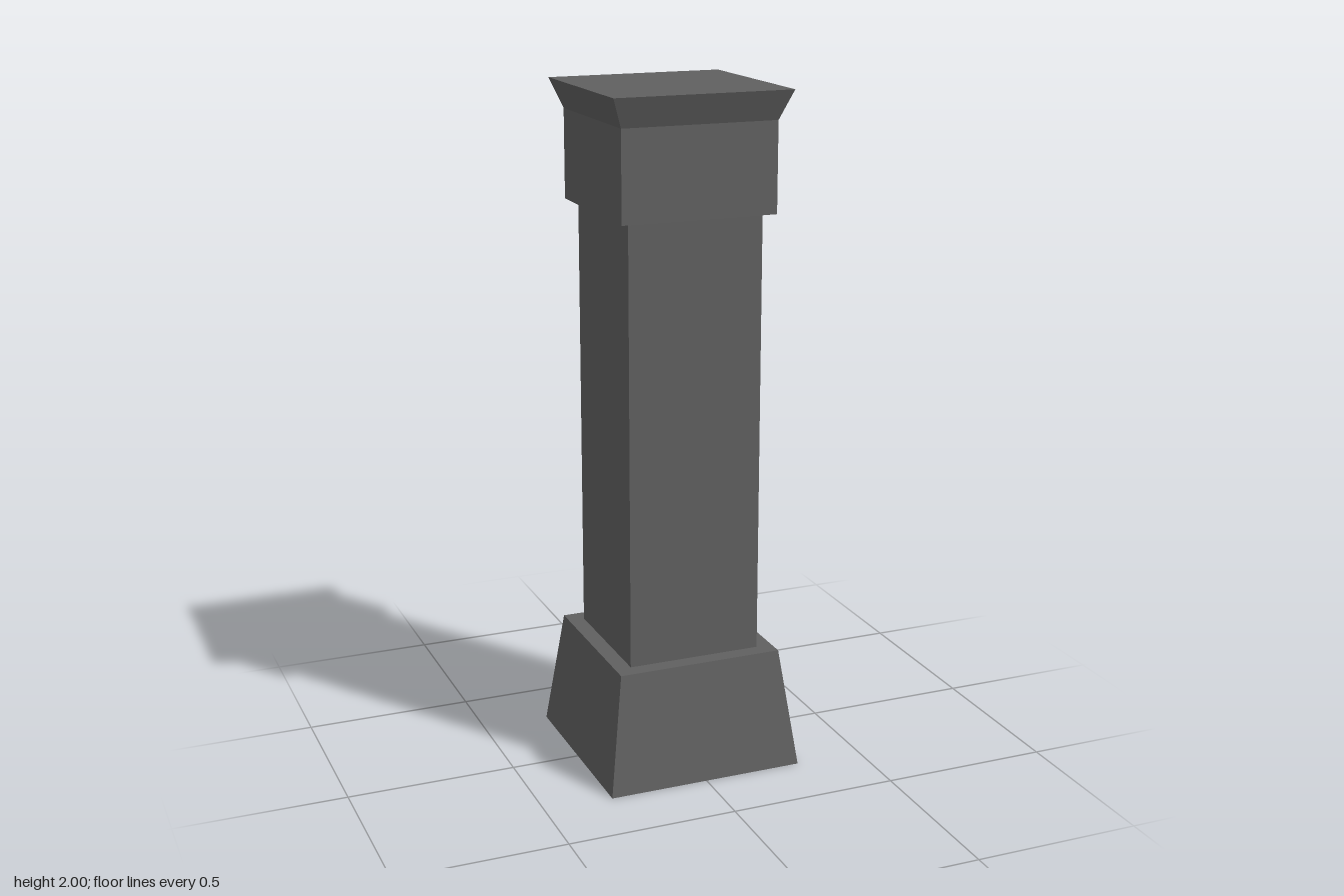
import * as THREE from 'three';

// Square block between two heights, with its own half-width at bottom and top
function taperedBlock(name, y0, y1, half0, half1, material) {
  const geometry = new THREE.BoxGeometry(2, y1 - y0, 2);
  geometry.translate(0, (y0 + y1) / 2, 0);
  const p = geometry.attributes.position;
  const middle = (y0 + y1) / 2;
  for (let i = 0; i < p.count; i++) {
    const half = p.getY(i) > middle ? half1 : half0;
    p.setX(i, p.getX(i) * half);
    p.setZ(i, p.getZ(i) * half);
  }
  geometry.computeVertexNormals();
  const mesh = new THREE.Mesh(geometry, material);
  mesh.name = name;
  return mesh;
}

export function createModel() {
  const stone = new THREE.MeshStandardMaterial({ color: 0x606060, flatShading: true });
  stone.name = 'dark grey stone';

  const pillar = new THREE.Group();
  pillar.name = 'pillar';
  pillar.add(
    taperedBlock('base', 0, 0.355, 0.296, 0.248, stone),
    taperedBlock('shaft', 0.355, 1.655, 0.2, 0.2, stone),
    taperedBlock('capital', 1.655, 1.915, 0.23, 0.23, stone),
    taperedBlock('flaredTop', 1.915, 2, 0.23, 0.263, stone)
  );
  return pillar;
}
